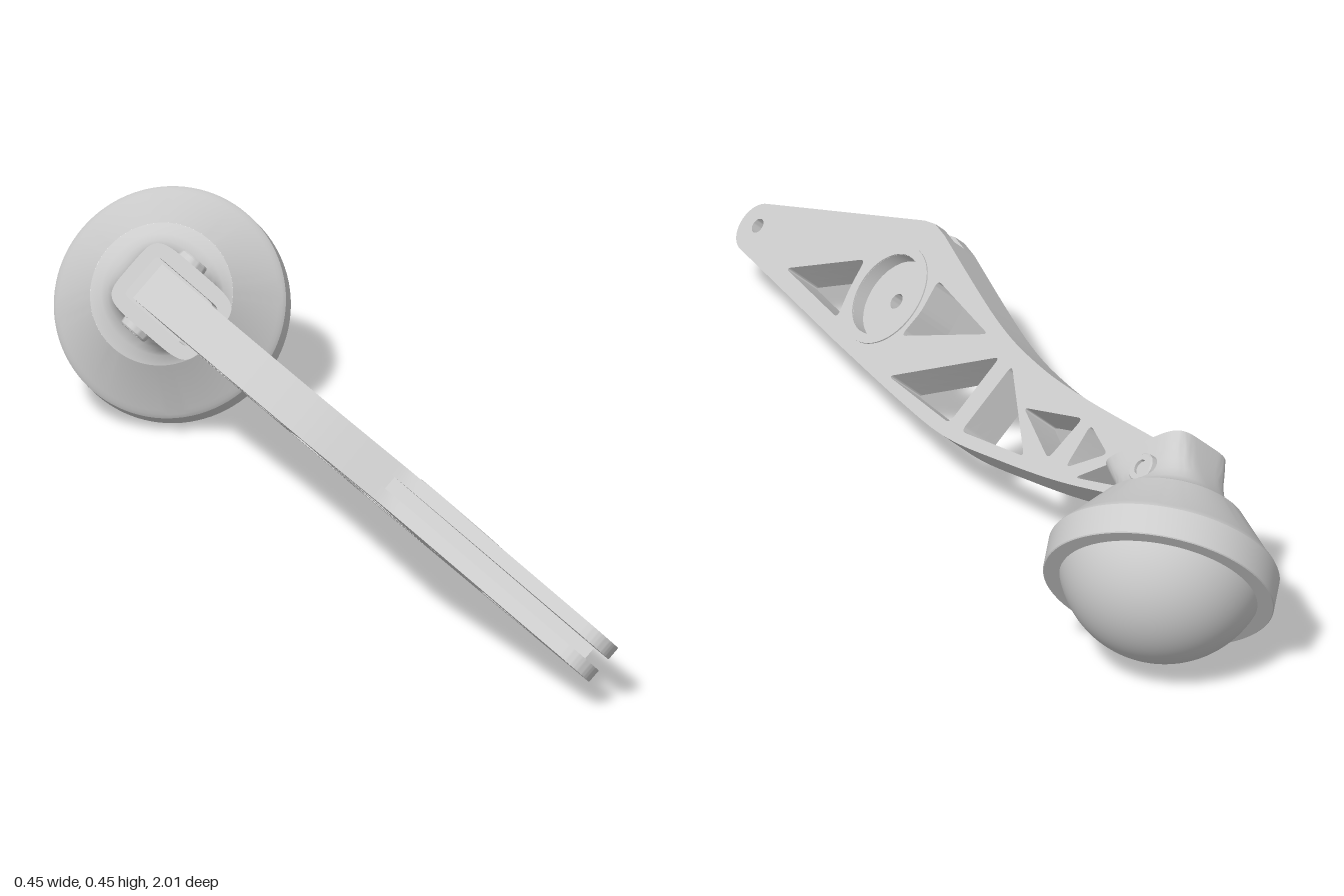
import * as THREE from 'three';
import { toCreasedNormals } from 'three/addons/utils/BufferGeometryUtils.js';

const mat = new THREE.MeshStandardMaterial({ color: 0xcccccc });
const V2 = (p) => new THREE.Vector2(p[0], p[1]);

// Arm plane: u runs to the back, v across the plate, w through its thickness
const THICK = 0.092, W0 = 0.074, WMID = W0 + THICK / 2;
const AXIS = new THREE.Vector3(0.65, -0.76, 0).normalize(); // cup axis
const FLANGE = new THREE.Vector3(0.804, 0.166, WMID);
const HUB = [-0.454, 0.206];

const UPPER = [[0.64, 0.39], [0.55, 0.376], [0.3, 0.338], [0.1, 0.32], [-0.1, 0.327], [-0.42, 0.378]];
const LOWER = [[-0.5, 0.062], [-0.2, 0.066], [0, 0.078], [0.2, 0.122], [0.4, 0.176], [0.6, 0.245]];

// Truss windows
const WINDOWS = [
  [[-0.78, 0.1], [-0.585, 0.228], [-0.568, 0.165], [-0.54, 0.1]],
  [[-0.345, 0.302], [-0.1, 0.293], [-0.33, 0.165], [-0.326, 0.23]],
  [[-0.28, 0.087], [-0.02, 0.276], [-0.02, 0.104]],
  [[0.03, 0.281], [0.03, 0.109], [0.25, 0.162]],
  [[0.15, 0.235], [0.33, 0.304], [0.32, 0.193]],
  [[0.365, 0.306], [0.385, 0.205], [0.47, 0.286]],
  [[0.43, 0.203], [0.56, 0.343], [0.57, 0.255]],
];

function add(group, name, geometry) {
  const mesh = new THREE.Mesh(geometry, mat);
  mesh.name = name;
  group.add(mesh);
  return mesh;
}

// Closed polygon with softened corners
function roundedPath(pts, r) {
  const path = new THREE.Path(), n = pts.length;
  for (let i = 0; i < n; i++) {
    const p = V2(pts[i]), a = V2(pts[(i + n - 1) % n]), b = V2(pts[(i + 1) % n]);
    const s = a.sub(p).setLength(r).add(p), e = b.sub(p).setLength(r).add(p);
    if (i === 0) path.moveTo(s.x, s.y); else path.lineTo(s.x, s.y);
    path.quadraticCurveTo(p.x, p.y, e.x, e.y);
  }
  path.closePath();
  return path;
}

const circle = (c, r) => new THREE.Path().absarc(c[0], c[1], r, 0, Math.PI * 2, false);

// One of the three layers of the arm; the middle one stops short to leave the fork slot
function armLayer(index, hubHole) {
  const s = new THREE.Shape();
  s.moveTo(...UPPER[0]);
  s.splineThru(UPPER.slice(1).map(V2));
  if (index === 1) {
    s.lineTo(-0.9, 0.063);
  } else {
    s.lineTo(-0.47, 0.382);
    s.lineTo(-0.505, 0.372);
    s.absarc(-0.944, 0.118, 0.055, THREE.MathUtils.degToRad(114), Math.PI * 1.5, false);
    s.holes.push(circle([-0.944, 0.123], 0.016));
  }
  s.lineTo(...LOWER[0]);
  s.splineThru(LOWER.slice(1).map(V2));
  s.closePath();
  for (const w of WINDOWS) s.holes.push(roundedPath(w, 0.016));
  s.holes.push(circle(HUB, hubHole));
  const g = new THREE.ExtrudeGeometry(s, { depth: THICK / 3, bevelEnabled: false, curveSegments: 16 });
  g.translate(0, 0, W0 + index * THICK / 3);
  return toCreasedNormals(g, 0.5);
}

// Skin over rings: [centre u, centre v, ring angle, half length, half width, squareness]
function loft(rings, n = 64) {
  const pos = [], idx = [];
  for (const [u, v, ang, a, b, e] of rings) {
    for (let j = 0; j < n; j++) {
      const t = j / n * Math.PI * 2, c = Math.cos(t), s = Math.sin(t);
      const p = a * Math.sign(c) * Math.abs(c) ** (2 / e);
      const q = b * Math.sign(s) * Math.abs(s) ** (2 / e);
      pos.push(u + p * Math.cos(ang), v + p * Math.sin(ang), WMID + q);
    }
  }
  for (let i = 0; i < rings.length - 1; i++) {
    for (let j = 0; j < n; j++) {
      const k = (j + 1) % n, A = i * n + j, B = i * n + k;
      idx.push(A, B, B + n, A, B + n, A + n);
    }
  }
  const g = new THREE.BufferGeometry();
  g.setAttribute('position', new THREE.Float32BufferAttribute(pos, 3));
  g.setIndex(idx);
  return toCreasedNormals(g, 0.6);
}

// Socket that holds the arm, flowing into the top of the cup
function neckGeometry() {
  const a0 = Math.atan2(0.76, 0.65), a1 = Math.atan2(0.65, 0.76);
  const c0 = [0.583, 0.34], c1 = [0.71, 0.276];
  const at = (t, a, b, e) => [
    c0[0] + (c1[0] - c0[0]) * t, c0[1] + (c1[1] - c0[1]) * t,
    a0 + (a1 - a0) * t, a, b, e,
  ];
  return loft([
    at(0.5, 0.001, 0.001, 8), at(0.5, 0.085, 0.053, 14), at(0, 0.085, 0.053, 14), // pocket
    at(0, 0.113, 0.085, 5), at(0.25, 0.108, 0.084, 4.5), at(0.45, 0.105, 0.085, 3.6),
    at(0.62, 0.107, 0.091, 2.9), at(0.78, 0.114, 0.104, 2.4), at(0.9, 0.128, 0.122, 2.1),
    at(1, 0.149, 0.149, 2),
  ]);
}

export function createModel() {
  const model = new THREE.Group();
  model.name = 'trussArmWithBallFoot';

  // Tilted frame shared by all parts
  const N = new THREE.Vector3(0.726, 0.687, 0.043).normalize();
  const U = new THREE.Vector3(0, 0, -1).addScaledVector(N, N.z).normalize();
  const H = N.clone().cross(U);
  const body = new THREE.Group();
  body.name = 'tiltedBody';
  body.applyMatrix4(new THREE.Matrix4().makeBasis(U, H, N));
  model.add(body);

  // Arm: two fork plates with a shorter core, and a recessed hub
  const arm = new THREE.Group();
  arm.name = 'arm';
  arm.position.y = -0.012;
  body.add(arm);
  ['armBackPlate', 'armCore', 'armFrontPlate'].forEach((name, i) =>
    add(arm, name, armLayer(i, i === 2 ? 0.092 : 0.017)));
  const ring = new THREE.Shape().absarc(0, 0, 0.113, 0, Math.PI * 2, false);
  ring.holes.push(circle([0, 0], 0.092));
  add(arm, 'hubRim', toCreasedNormals(
    new THREE.ExtrudeGeometry(ring, { depth: 0.006, bevelEnabled: false, curveSegments: 32 }), 0.5))
    .position.set(HUB[0], HUB[1], W0 + THICK - 0.003);

  // Neck with a low screw boss on each side
  add(body, 'neckSocket', neckGeometry());
  const bossProfile = [[0.038, -0.03], [0.032, 0.012], [0.029, 0.015], [0.016, 0.015], [0.016, 0.008], [0, 0.008]];
  for (const side of [1, -1]) {
    const boss = add(body, side > 0 ? 'screwBossFront' : 'screwBossBack',
      toCreasedNormals(new THREE.LatheGeometry(bossProfile.map(V2), 32), 0.6));
    boss.rotation.x = side * Math.PI / 2;
    boss.position.set(0.655, 0.31, WMID + side * 0.085);
  }

  // Cup: flared cone ending in a banded flange
  const cupProfile = [[0.149, -0.145], [0.229, -0.047], [0.236, -0.041], [0.242, -0.032],
    [0.242, 0.034], [0.24, 0.036], [0.19, 0.036]];
  const cup = add(body, 'cup', toCreasedNormals(new THREE.LatheGeometry(cupProfile.map(V2), 96), 0.5));
  cup.quaternion.setFromUnitVectors(new THREE.Vector3(0, 1, 0), AXIS);
  cup.position.copy(FLANGE);

  // Ball foot: the lower part of a sphere seated in the cup
  const ball = add(body, 'ballFoot',
    new THREE.SphereGeometry(0.221, 72, 40, 0, Math.PI * 2, 0, Math.PI * 0.45));
  ball.quaternion.copy(cup.quaternion);
  ball.position.copy(FLANGE).addScaledVector(AXIS, -0.04);
  return model;
}
